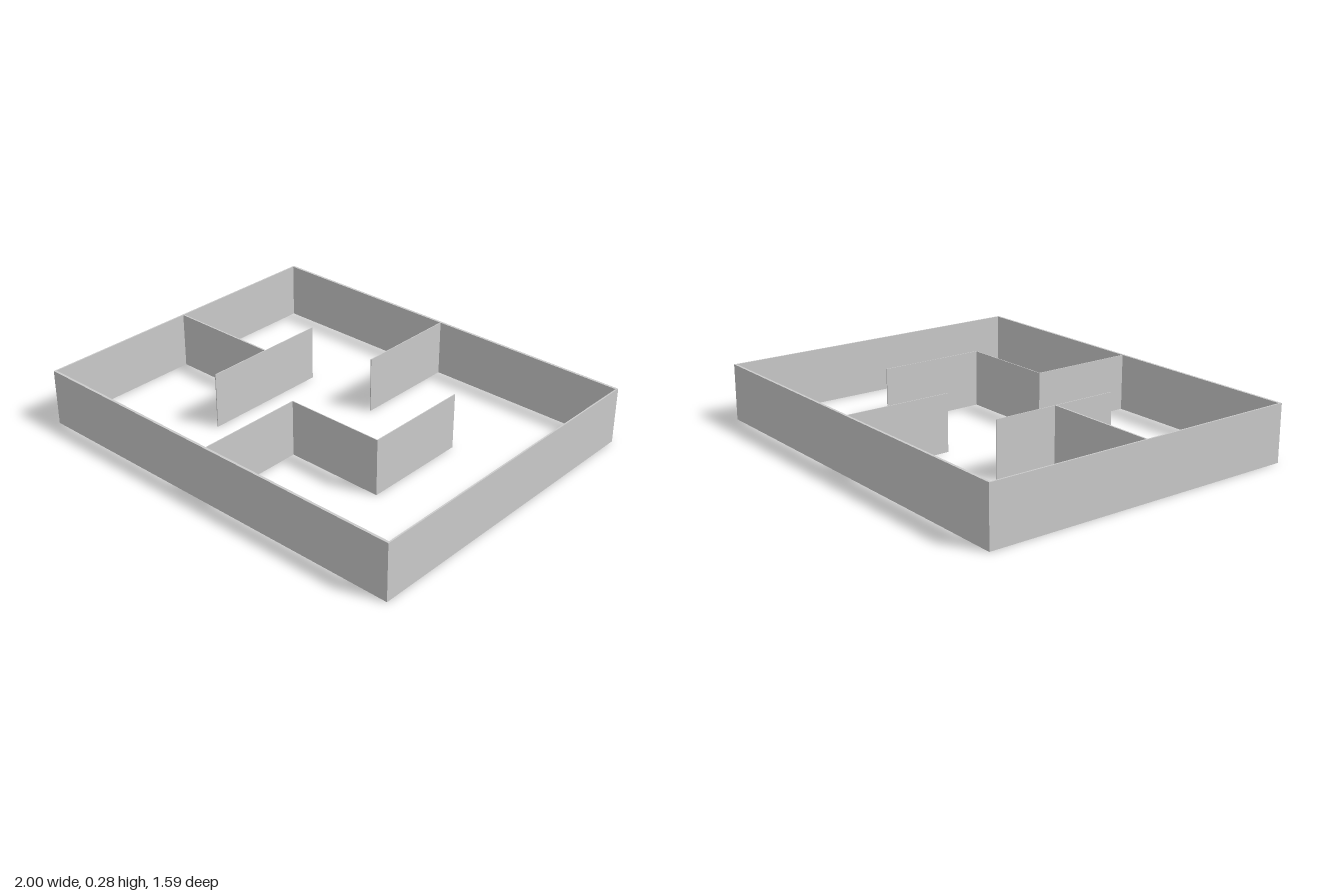
import * as THREE from 'three';

const HEIGHT = 0.275;
const HALF_X = 1, HALF_Z = 0.795;

export function createModel() {
  const group = new THREE.Group();
  group.name = 'walledEnclosure';
  const material = new THREE.MeshStandardMaterial({ color: 0xcccccc, flatShading: true });

  // Upright wall filling the floor rectangle x0..x1, z0..z1
  const wall = (name, x0, x1, z0, z1) => {
    const mesh = new THREE.Mesh(new THREE.BoxGeometry(x1 - x0, HEIGHT, z1 - z0), material);
    mesh.position.set((x0 + x1) / 2, HEIGHT / 2, (z0 + z1) / 2);
    mesh.name = name;
    group.add(mesh);
  };
  // Thin partitions running along x or along z
  const t = 0.002;
  const alongX = (name, z, x0, x1, half = t) => wall(name, x0, x1, z - half, z + half);
  const alongZ = (name, x, z0, z1) => wall(name, x - t, x + t, z0, z1);

  // Outer walls
  const endT = 0.012, sideT = 0.007;
  const innerX = HALF_X - sideT, innerZ = HALF_Z - endT;
  wall('frontWall', -HALF_X, HALF_X, innerZ, HALF_Z);
  wall('backWall', -HALF_X, HALF_X, -HALF_Z, -innerZ);
  wall('leftWall', innerX, HALF_X, -innerZ, innerZ);
  wall('rightWall', -HALF_X, -innerX, -innerZ, innerZ);

  // Straight partition from the back wall
  alongZ('backPartition', 0, -innerZ, -0.265);

  // Stepped partition from the front wall
  alongZ('frontPartition', 0, 0.262 - t, innerZ);
  alongX('stepPartition', 0.262, t, 0.49 - t);
  alongZ('stepEndPartition', 0.49, -0.265, 0.262 + t);

  // T-shaped partition from the right wall
  alongX('teeStem', 0, -innerX, -0.428 - t, 0.004);
  alongZ('teeBar', -0.428, -0.323, 0.323);

  return group;
}
